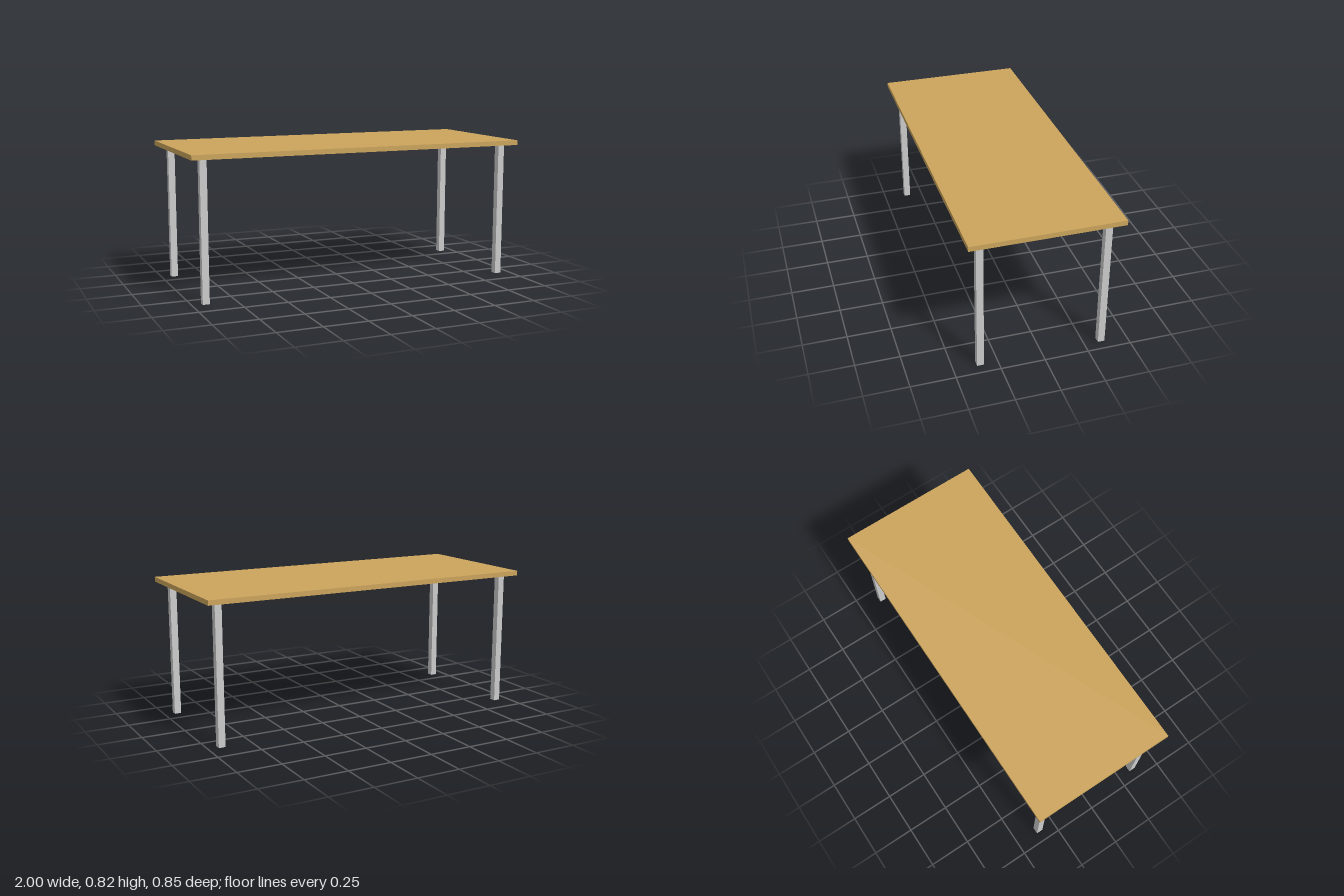
import * as THREE from 'three';

const HEIGHT = 0.82, TOP_THICK = 0.028, LEG = 0.039;

export function createModel() {
  const group = new THREE.Group();
  const wood = new THREE.MeshStandardMaterial({ color: 0xcca45c });
  const metal = new THREE.MeshStandardMaterial({ color: 0xcccccc });

  // Flat rectangular top
  const top = new THREE.Mesh(new THREE.BoxGeometry(2, TOP_THICK, 0.846), wood);
  top.name = 'tableTop';
  top.position.y = HEIGHT - TOP_THICK / 2;
  group.add(top);

  // Four square legs, set in from the corners
  const legHeight = HEIGHT - TOP_THICK;
  const legGeometry = new THREE.BoxGeometry(LEG, legHeight, LEG);
  for (const [zName, z] of [['front', 0.349], ['back', -0.349]]) {
    for (const [xName, x] of [['Left', 0.923], ['Right', -0.923]]) {
      const leg = new THREE.Mesh(legGeometry, metal);
      leg.name = `${zName}${xName}Leg`;
      leg.position.set(x, legHeight / 2, z);
      group.add(leg);
    }
  }
  return group;
}
